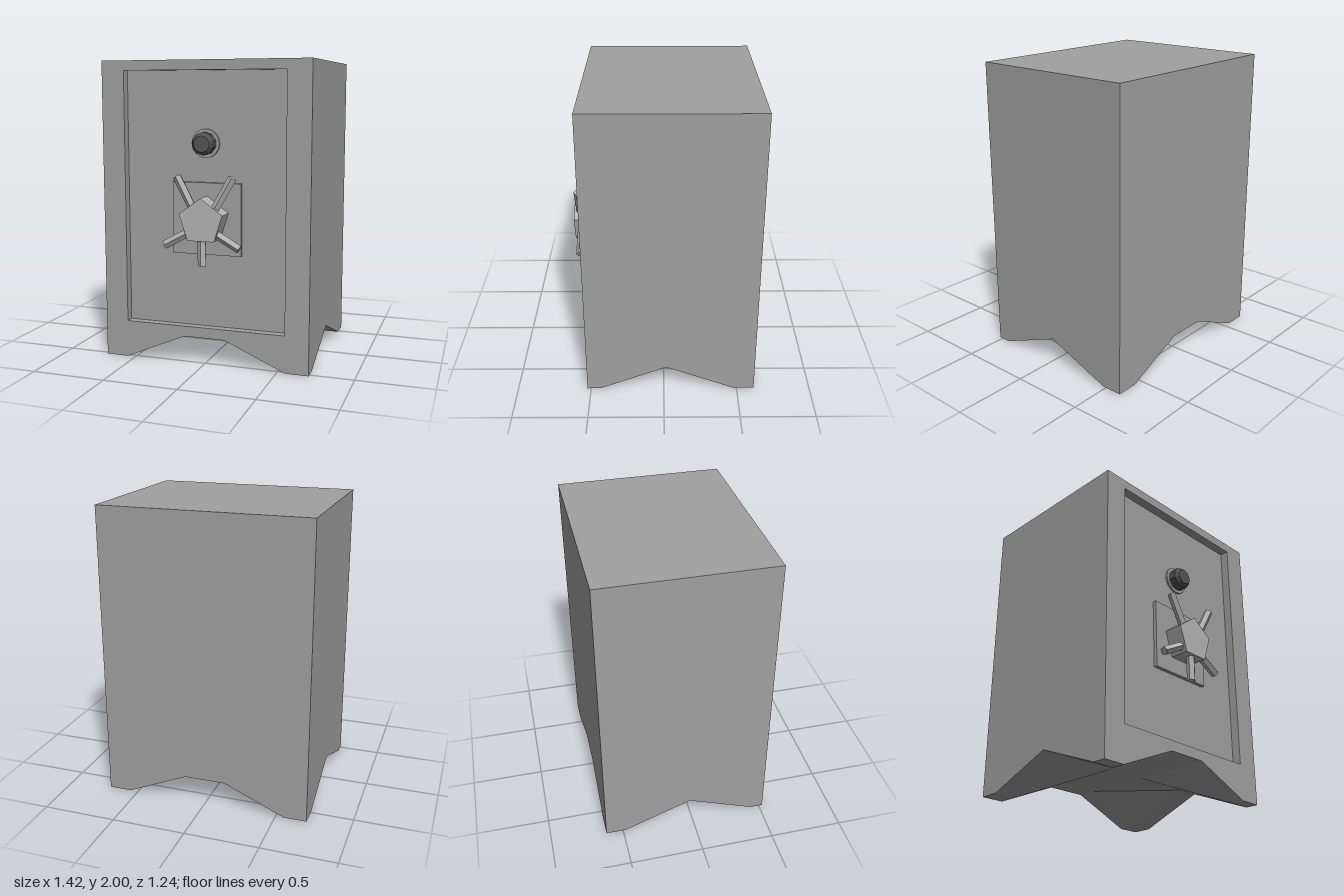
import * as THREE from 'three';
import { mergeGeometries } from 'three/addons/utils/BufferGeometryUtils.js';

const paint = (color) => new THREE.MeshStandardMaterial({ color, flatShading: true });
const bodyGrey = paint(0xa0a0a0);
const handleGrey = paint(0xb4b4b4);
const knobGrey = paint(0x555555);

const W = 0.71, H = 2, FRONT = 0.525, BACK = -0.618, ARCH = 0.18;
const DOOR = { x0: -0.552, x1: 0.55, y0: 0.25, y1: 1.935, z: 0.465 };

function addMesh(parent, name, geometry, material = bodyGrey) {
  const mesh = new THREE.Mesh(geometry, material);
  mesh.name = name;
  parent.add(mesh);
  return mesh;
}

// Flat-shaded surface from four-cornered faces, each split along corners 0-2
function quadGeometry(quads) {
  const points = [];
  for (const [a, b, c, d] of quads) points.push(...a, ...b, ...c, ...a, ...c, ...d);
  const geometry = new THREE.BufferGeometry();
  geometry.setAttribute('position', new THREE.Float32BufferAttribute(points, 3));
  geometry.computeVertexNormals();
  return geometry;
}

// Upright wall whose lower edge follows the arch points
function wall(arch, x0, x1, hole) {
  const outline = [[x0, 0], ...arch, [x1, 0], [x1, H], [x0, H]];
  const shape = new THREE.Shape(outline.map(([x, y]) => new THREE.Vector2(x, y)));
  if (hole) shape.holes.push(new THREE.Path(hole.map(([x, y]) => new THREE.Vector2(x, y))));
  return new THREE.ShapeGeometry(shape);
}

function createCabinet(parent) {
  const { x0, x1, y0, y1, z } = DOOR;
  const rim = [[x0, y0], [x0, y1], [x1, y1], [x1, y0]];
  const frontArch = [[-0.555, 0], [-0.14, ARCH], [0.14, ARCH], [0.555, 0]];
  const sideArch = [[-0.435, 0], [0.018, ARCH], [0.48, 0]];
  const mirrored = sideArch.map(([x, y]) => [-x, y]).reverse();

  const top = new THREE.PlaneGeometry(2 * W, FRONT - BACK);
  top.rotateX(-Math.PI / 2).translate(0, H, (FRONT + BACK) / 2);
  addMesh(parent, 'cabinetShell', mergeGeometries([
    wall(frontArch, -W, W, rim).translate(0, 0, FRONT),
    wall(frontArch, -W, W).rotateY(Math.PI).translate(0, 0, BACK),
    wall(sideArch, -FRONT, -BACK).rotateY(Math.PI / 2).translate(W, 0, 0),
    wall(mirrored, BACK, FRONT).rotateY(-Math.PI / 2).translate(-W, 0, 0),
    top,
  ]));

  // Two crossing arched hollows leave four feet
  const xs = [[-W, 0], ...frontArch, [W, 0]];
  const zs = [[BACK, 0], ...mirrored, [FRONT, 0]];
  const corner = (i, j) => [xs[i][0], Math.max(xs[i][1], zs[j][1]), zs[j][0]];
  const underside = [];
  for (let i = 0; i < xs.length - 1; i++) {
    for (let j = 0; j < zs.length - 1; j++) {
      underside.push([corner(i, j), corner(i + 1, j), corner(i + 1, j + 1), corner(i, j + 1)]);
    }
  }
  addMesh(parent, 'archedUnderside', quadGeometry(underside));

  // Recess walls around the door
  addMesh(parent, 'doorRecess', quadGeometry(rim.map(([x, y], i) => {
    const [u, v] = rim[(i + 1) % 4];
    return [[x, y, FRONT], [x, y, z], [u, v, z], [u, v, FRONT]];
  })));
  addMesh(parent, 'door', new THREE.PlaneGeometry(x1 - x0, y1 - y0))
    .position.set((x0 + x1) / 2, (y0 + y1) / 2, z);
}

function createDial(parent) {
  const dial = new THREE.Group();
  dial.name = 'combinationDial';
  dial.position.set(0, 1.467, DOOR.z);
  parent.add(dial);
  const lathe = (profile, sides) => new THREE.LatheGeometry(
    profile.map(([r, y]) => new THREE.Vector2(r, y)), sides).rotateX(Math.PI / 2);
  addMesh(dial, 'dialRing', lathe([[0.095, 0], [0.095, 0.015], [0, 0.015]], 16));
  addMesh(dial, 'dialKnob',
    lathe([[0.075, 0.015], [0.075, 0.065], [0.054, 0.09], [0, 0.09]], 10), knobGrey);
}

function createHandle(parent) {
  const handle = new THREE.Group();
  handle.name = 'wheelHandle';
  parent.add(handle);

  addMesh(handle, 'backPlate', new THREE.BoxGeometry(0.47, 0.475, 0.025))
    .position.set(0.01, 0.976, DOOR.z + 0.0125);

  // Five-sided hub with one point up
  const hub = new THREE.CylinderGeometry(0.154, 0.154, 0.13, 5);
  hub.rotateX(Math.PI / 2).rotateZ(Math.PI);
  addMesh(handle, 'hub', hub, handleGrey).position.set(0.014, 0.973, 0.553);

  // Spokes as inner and outer ends
  const spokes = [
    [0.085, 1.03, 0.217, 1.26], [-0.05, 1.05, -0.161, 1.26],
    [0.1, 0.898, 0.262, 0.806], [-0.08, 0.898, -0.249, 0.806],
    [0.01, 0.88, 0.01, 0.68],
  ];
  for (const [x0, y0, x1, y1] of spokes) {
    const along = new THREE.Vector2(x1 - x0, y1 - y0);
    const geometry = new THREE.CylinderGeometry(0.029, 0.029, along.length(), 5);
    const spoke = addMesh(handle, 'spoke', geometry, handleGrey);
    spoke.position.set((x0 + x1) / 2, (y0 + y1) / 2, 0.575);
    spoke.rotation.z = Math.atan2(-along.x, along.y);
  }
}

export function createModel() {
  const model = new THREE.Group();
  model.name = 'safe';
  createCabinet(model);
  createDial(model);
  createHandle(model);
  return model;
}
